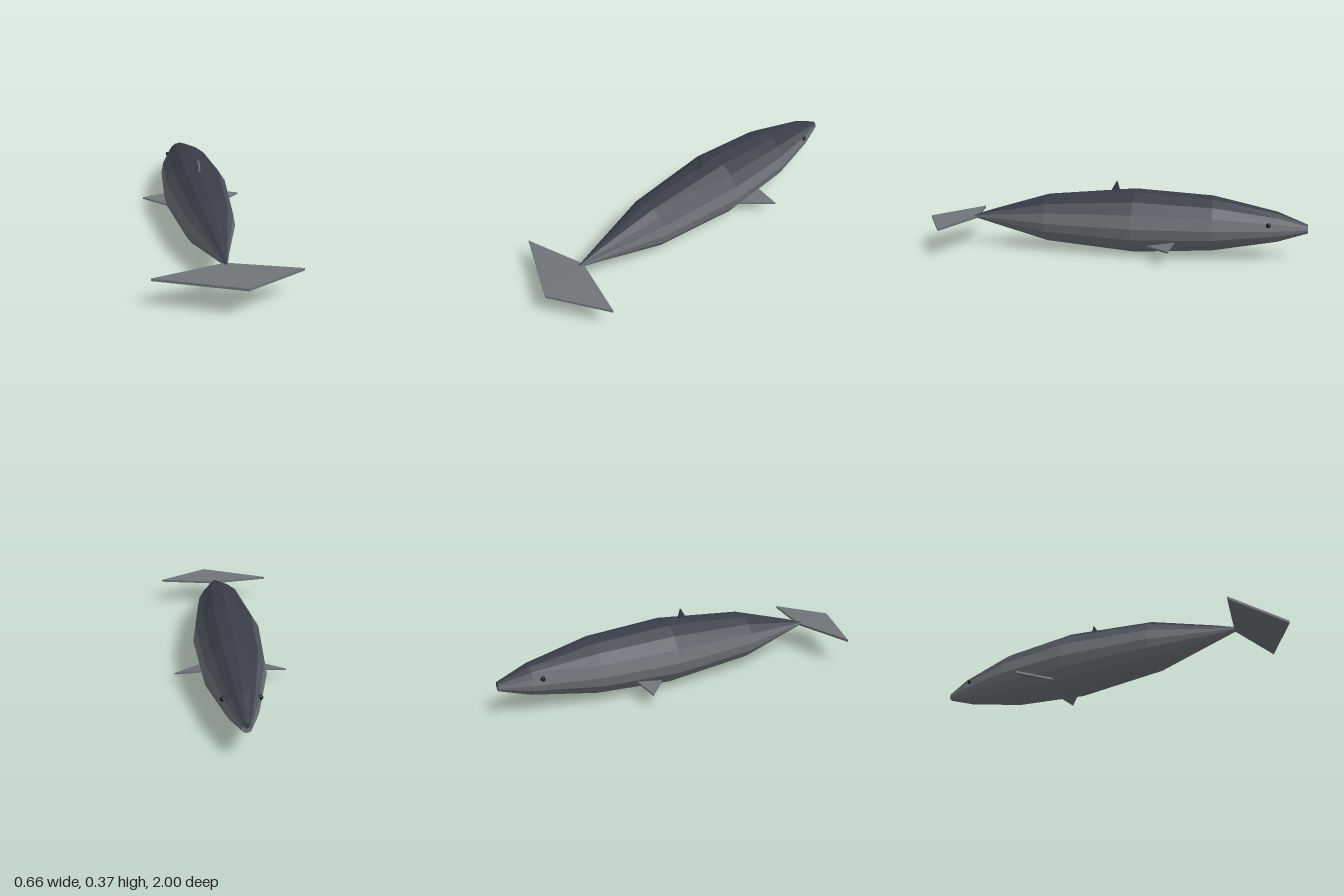
import * as THREE from 'three';

const SIDES = 16;
const AXIS_Y = 0.151;
// Body cross-sections from nose to tail: z, half width, height above and depth below the axis
const SECTIONS = [
  [-1, 0, 0, 0],
  [-1, 0.021, 0.027, 0.018],
  [-0.85, 0.073, 0.088, 0.067],
  [-0.53, 0.148, 0.159, 0.125],
  [-0.13, 0.173, 0.183, 0.151],
  [0.34, 0.125, 0.139, 0.114],
  [0.66, 0.034, 0.044, 0.034],
  [0.77, 0.006, 0.006, 0.006],
  [0.77, 0, 0, 0],
];

function material(color) {
  return new THREE.MeshStandardMaterial({ color, flatShading: true });
}

function makeMesh(name, positions, mat) {
  const geometry = new THREE.BufferGeometry();
  geometry.setAttribute('position', new THREE.Float32BufferAttribute(positions, 3));
  geometry.computeVertexNormals();
  const mesh = new THREE.Mesh(geometry, mat);
  mesh.name = name;
  return mesh;
}

// Point on the body surface; step 0 is the left side, step 4 the top
function bodyPoint([z, width, up, down], step) {
  const a = (step / SIDES) * Math.PI * 2;
  const s = Math.sin(a);
  return [Math.cos(a) * width, AXIS_Y + s * (s > 0 ? up : down), z];
}

// Lengthwise strips of the body between two steps around it
function bodyBand(from, to) {
  const out = [];
  for (let i = 0; i < SECTIONS.length - 1; i++) {
    const near = SECTIONS[i], far = SECTIONS[i + 1];
    for (let k = from; k < to; k++) {
      const a = bodyPoint(near, k), b = bodyPoint(near, k + 1);
      const c = bodyPoint(far, k + 1), d = bodyPoint(far, k);
      if (near[1] > 0) out.push(...a, ...b, ...c);
      if (far[1] > 0) out.push(...a, ...c, ...d);
    }
  }
  return out;
}

// Triangular plate of even thickness, centred on its three corners
function plate(corners, thickness) {
  const half = new THREE.Vector3(...thickness).multiplyScalar(0.5);
  const pts = corners.map((p) => new THREE.Vector3(...p));
  const normal = pts[1].clone().sub(pts[0]).cross(pts[2].clone().sub(pts[0]));
  if (normal.dot(half) < 0) pts.reverse();
  const top = pts.map((p) => p.clone().add(half).toArray());
  const low = pts.map((p) => p.clone().sub(half).toArray());
  const out = [...top.flat(), ...low[2], ...low[1], ...low[0]];
  for (let i = 0; i < 3; i++) {
    const j = (i + 1) % 3;
    out.push(...low[i], ...low[j], ...top[j], ...low[i], ...top[j], ...top[i]);
  }
  return out;
}

export function createModel() {
  const group = new THREE.Group();
  group.name = 'whale';
  const dark = material(0x383d48);
  const middle = material(0x50555e);
  const grey = material(0x70757a);
  const black = material(0x1c1c20);

  // Body: dark back, mid-toned shoulders, grey flanks and belly
  const body = new THREE.Group();
  body.name = 'body';
  body.add(
    makeMesh('back', bodyBand(2, 6), dark),
    makeMesh('leftShoulder', bodyBand(1, 2), middle),
    makeMesh('rightShoulder', bodyBand(6, 7), middle),
    makeMesh('flanksAndBelly', bodyBand(7, 17), grey),
  );
  group.add(body);

  // Paired parts
  for (const [side, s] of [['left', 1], ['right', -1]]) {
    // Half of the tail fluke, folded slightly along the middle
    group.add(makeMesh(side + 'Fluke', plate(
      [[0, 0.148, 0.75], [s * 0.328, 0.14, 0.835], [0.05, 0.149, 1]], [0, 0.012, 0]), grey));

    group.add(makeMesh(side + 'Flipper', plate(
      [[s * 0.115, 0.086, -0.35], [s * 0.275, 0.068, -0.33], [s * 0.12, 0.056, -0.2]],
      [0, 0.009, 0]), grey));

    const eye = new THREE.Mesh(new THREE.SphereGeometry(0.012, 8, 6), black);
    eye.name = side + 'Eye';
    eye.position.set(s * 0.081, 0.182, -0.805);
    group.add(eye);
  }

  // Dorsal fin
  group.add(makeMesh('dorsalFin', plate(
    [[0, 0.315, 0.005], [0, 0.315, -0.045], [0, 0.372, -0.028]], [0.012, 0, 0]), dark));

  return group;
}
